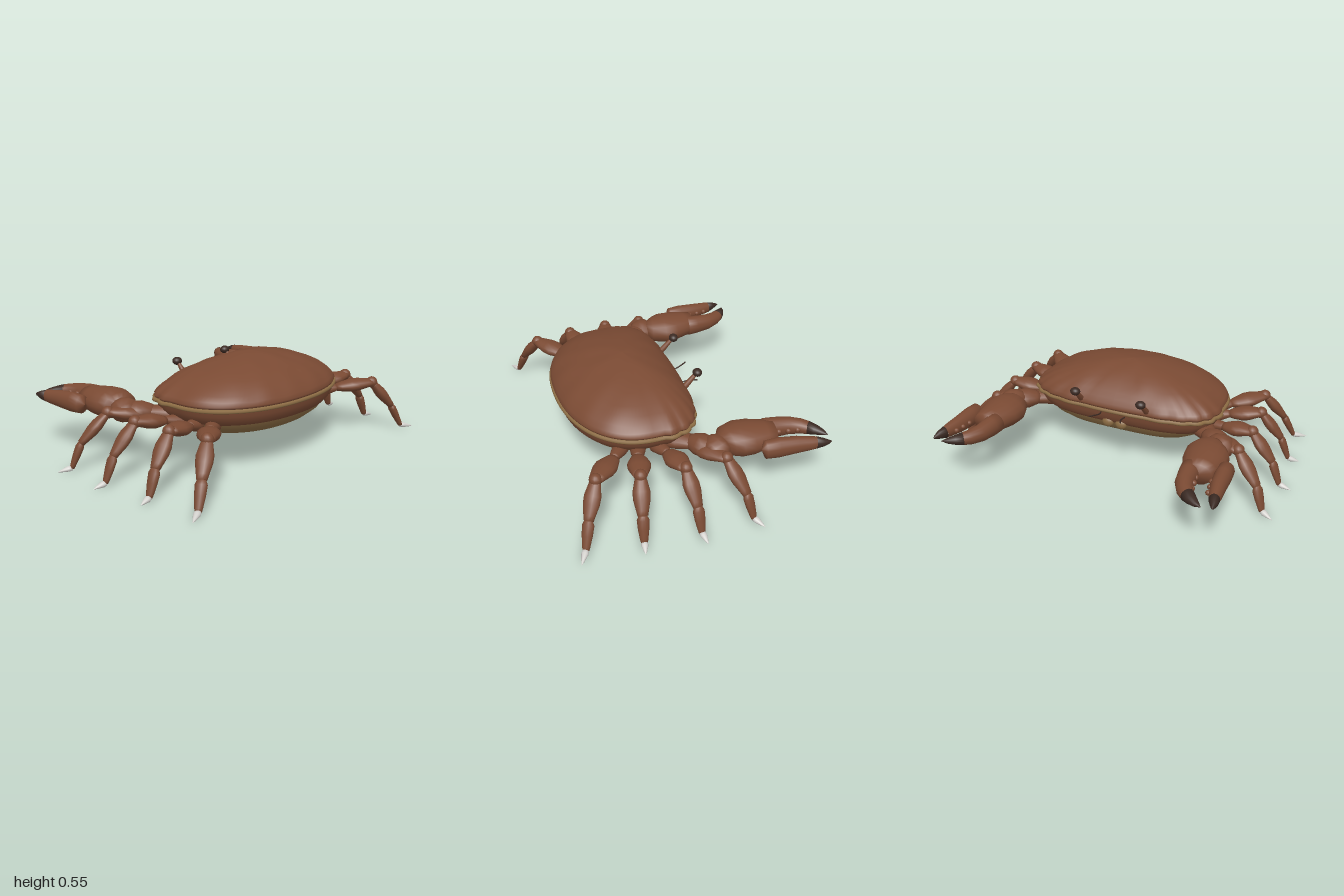
import * as THREE from 'three';

const flat = (name, color) => {
  const m = new THREE.MeshStandardMaterial({ color });
  m.name = name;
  return m;
};
const V3 = (p) => new THREE.Vector3(p[0], p[1], p[2]);

// Skin a list of closed rings (arrays of Vector3) with smooth normals
function skin(rings) {
  const n = rings[0].length, idx = [];
  for (let j = 0; j < rings.length - 1; j++) {
    for (let i = 0; i < n; i++) {
      const k = (i + 1) % n;
      const a = j * n + i, b = j * n + k, c = a + n, d = b + n;
      idx.push(a, c, b, b, c, d);
    }
  }
  const g = new THREE.BufferGeometry().setFromPoints(rings.flat());
  g.setIndex(idx);
  g.computeVertexNormals();
  return g;
}

// Elliptical section swept through stations [x, y, z, halfWidth, halfHeight]
function sweep(stations, sides = 14) {
  const up = new THREE.Vector3(0, 1, 0);
  return skin(stations.map((s, j) => {
    const p = V3(s);
    const prev = V3(stations[Math.max(j - 1, 0)]);
    const next = V3(stations[Math.min(j + 1, stations.length - 1)]);
    const t = next.sub(prev).normalize();
    const u = t.clone().cross(up).normalize();
    const v = u.clone().cross(t);
    return Array.from({ length: sides }, (_, i) => {
      const a = (i / sides) * Math.PI * 2;
      return p.clone().addScaledVector(u, s[3] * Math.cos(a)).addScaledVector(v, s[4] * Math.sin(a));
    });
  }));
}

// Straight limb segment from a to b with a bulging profile of [position, radius]
const BULGE = [[-0.03, 0], [0, 0.55], [0.12, 0.72], [0.4, 1], [0.6, 0.97], [0.88, 0.7], [1, 0.6], [1.03, 0]];
const TAPER = [[-0.04, 0], [0, 0.7], [0.15, 1], [0.5, 0.9], [0.9, 0.65], [1, 0.55], [1.03, 0]];
const SPIKE = [[-0.04, 0], [0, 0.9], [0.25, 1], [0.7, 0.5], [1, 0.03]];
function segment(a, b, w, h, profile) {
  const A = V3(a), B = V3(b);
  return sweep(profile.map(([t, r]) => {
    const p = A.clone().lerp(B, t);
    return [p.x, p.y, p.z, w * r, h * r];
  }));
}

// Shell outline: broad square front (-z), round back, small teeth along the front
const CZ = 0.2, N = 112;
function outline(scale, y, teeth = 1) {
  return Array.from({ length: N }, (_, i) => {
    const a = (i / N) * Math.PI * 2, c = Math.cos(a), s = Math.sin(a);
    const e = s < 0 ? 2 / 3.5 : 2 / 2.2;
    const depth = s < 0 ? 0.302 : 0.385;
    const k = scale * (1 + (s < -0.08 ? 0.022 * teeth * Math.abs(Math.sin(a * 11)) : 0));
    return new THREE.Vector3(
      Math.sign(c) * 0.553 * Math.abs(c) ** e * k, y,
      CZ + Math.sign(s) * depth * Math.abs(s) ** e * k);
  });
}

export function createModel() {
  const crab = new THREE.Group();
  crab.name = 'crab';
  const brown = flat('shell brown', 0x7a4a33);
  const tan = flat('belly tan', 0x8a6b43);
  const dark = flat('dark claw tip', 0x3b2a23);
  const white = flat('pale leg tip', 0xd2d0cc);

  const add = (parent, name, geo, mat) => {
    const m = new THREE.Mesh(geo, mat);
    m.name = name;
    parent.add(m);
    return m;
  };
  const loftBody = (name, rows, mat, teeth) =>
    add(crab, name, skin(rows.map(([s, y]) => outline(s, y, teeth * s ** 4))), mat);

  // Body, bottom to top
  loftBody('belly', [[0, 0.164], [0.3, 0.167], [0.55, 0.178], [0.72, 0.2], [0.83, 0.235], [0.87, 0.27]], tan, 0);
  loftBody('lowerShell', [[0.84, 0.262], [0.9, 0.268], [0.945, 0.29], [0.975, 0.32], [0.985, 0.352]], brown, 0.3);
  loftBody('shellRim', [[0.97, 0.345], [1.008, 0.345], [1.018, 0.352], [1.01, 0.362], [0.97, 0.364]], tan, 1);
  const dome = loftBody('upperShell', [[0.96, 0.362], [0.99, 0.364], [1, 0.376], [0.975, 0.395], [0.92, 0.42], [0.84, 0.447],
    [0.74, 0.473], [0.6, 0.5], [0.45, 0.521], [0.3, 0.537], [0.15, 0.549], [0, 0.555]], brown, 1);

  // Soft ridges over the shell
  const pos = dome.geometry.attributes.position;
  for (let i = 0; i < pos.count; i++) {
    const x = pos.getX(i), y = pos.getY(i), z = pos.getZ(i);
    if (y > 0.39 && y < 0.55) pos.setY(i, y + 0.003 * Math.sin(x * 34) * Math.cos(z * 18));
  }
  dome.geometry.computeVertexNormals();

  // Folded abdomen plates under the belly
  for (let i = 0; i < 5; i++) {
    const plate = add(crab, 'abdomenPlate', new THREE.SphereGeometry(1, 28, 12), tan);
    plate.scale.set(0.2 - i * 0.03, 0.013, 0.075);
    plate.position.set(0, 0.167, 0.31 - i * 0.047);
    plate.rotation.x = 0.06;
  }

  // Leg joints in top view: [x, z] of root, hip, knee, shin, ankle, tip
  const legs = [
    [[0.44, 0.08], [0.56, -0.01], [0.735, -0.12], [0.865, -0.185], [0.91, -0.21], [0.975, -0.245]],
    [[0.46, 0.17], [0.575, 0.135], [0.745, 0.1], [0.875, 0.082], [0.925, 0.076], [0.995, 0.068]],
    [[0.46, 0.26], [0.56, 0.29], [0.73, 0.33], [0.85, 0.358], [0.9, 0.367], [0.965, 0.38]],
    [[0.42, 0.33], [0.53, 0.41], [0.69, 0.545], [0.8, 0.615], [0.86, 0.65], [0.935, 0.69]],
  ];
  const legY = [0.255, 0.275, 0.3, 0.15, 0.022, 0.006];

  for (const side of [1, -1]) {
    const label = side > 0 ? 'left' : 'right';
    const at = ([x, y, z]) => [side * x, y, z];

    legs.forEach((joints, i) => {
      const leg = new THREE.Group();
      leg.name = `${label}Leg${i + 1}`;
      crab.add(leg);
      const p = joints.map(([x, z], j) => at([x, legY[j], z]));
      add(leg, 'hip', segment(p[0], p[1], 0.042, 0.036, TAPER), brown);
      add(leg, 'thigh', segment(p[1], p[2], 0.06, 0.037, BULGE), brown);
      add(leg, 'knee', new THREE.SphereGeometry(0.033, 14, 10), brown).position.set(...p[2]);
      add(leg, 'shin', segment(p[2], p[3], 0.044, 0.031, BULGE), brown);
      add(leg, 'foot', segment(p[3], p[4], 0.031, 0.022, TAPER), brown);
      add(leg, 'footTip', segment(p[4], p[5], 0.018, 0.015, SPIKE), white);
    });

    // Claw arm, palm and two fingers with dark tips
    const claw = new THREE.Group();
    claw.name = `${label}Claw`;
    crab.add(claw);
    const run = (name, rows, mat) =>
      add(claw, name, sweep(rows.map(([x, y, z, w, h]) => [side * x, y, z, w, h]), 18), mat);
    add(claw, 'upperArm', segment(at([0.42, 0.27, 0.12]), at([0.56, 0.285, -0.03]), 0.07, 0.05, TAPER), brown);
    add(claw, 'forearm', segment(at([0.52, 0.285, 0.0]), at([0.655, 0.29, -0.1]), 0.07, 0.055, BULGE), brown);
    add(claw, 'wrist', segment(at([0.66, 0.29, -0.05]), at([0.6, 0.295, -0.17]), 0.08, 0.066, BULGE), brown);
    run('palm', [[0.63, 0.3, -0.125, 0, 0], [0.625, 0.3, -0.135, 0.05, 0.05], [0.61, 0.3, -0.17, 0.095, 0.07],
      [0.605, 0.3, -0.23, 0.118, 0.08], [0.61, 0.3, -0.3, 0.115, 0.078], [0.615, 0.3, -0.38, 0.092, 0.068],
      [0.62, 0.3, -0.43, 0.075, 0.058], [0.62, 0.3, -0.435, 0, 0]], brown);
    run('innerFinger', [[0.575, 0.3, -0.37, 0, 0], [0.575, 0.3, -0.395, 0.055, 0.058], [0.577, 0.3, -0.45, 0.05, 0.056],
      [0.587, 0.3, -0.53, 0.046, 0.048], [0.613, 0.3, -0.59, 0.041, 0.04], [0.64, 0.3, -0.622, 0.036, 0.034]], brown);
    run('innerFingerTip', [[0.632, 0.3, -0.614, 0, 0], [0.638, 0.3, -0.62, 0.037, 0.035], [0.667, 0.3, -0.648, 0.03, 0.026],
      [0.7, 0.3, -0.673, 0.018, 0.015], [0.73, 0.3, -0.69, 0.001, 0.001]], dark);
    run('outerFinger', [[0.735, 0.3, -0.31, 0, 0], [0.738, 0.3, -0.33, 0.043, 0.05], [0.742, 0.3, -0.4, 0.045, 0.055],
      [0.75, 0.3, -0.5, 0.04, 0.047], [0.762, 0.3, -0.57, 0.033, 0.038], [0.767, 0.3, -0.605, 0.027, 0.033]], brown);
    run('outerFingerTip', [[0.765, 0.3, -0.595, 0, 0], [0.767, 0.3, -0.603, 0.028, 0.034], [0.777, 0.3, -0.64, 0.02, 0.023],
      [0.782, 0.3, -0.67, 0.009, 0.01], [0.782, 0.3, -0.685, 0.001, 0.001]], dark);
    // Blunt teeth along the gripping edges
    for (let i = 0; i < 3; i++) {
      const z = -0.46 - i * 0.05;
      add(claw, 'fingerTooth', new THREE.SphereGeometry(0.016, 10, 8), brown).position.set(side * (0.622 + i * 0.008), 0.3, z);
      add(claw, 'fingerTooth', new THREE.SphereGeometry(0.014, 10, 8), brown).position.set(side * (0.705 + i * 0.008), 0.3, z);
    }

    // Eye on a slanted stalk
    add(crab, `${label}EyeStalk`, segment(at([0.2, 0.37, -0.07]), at([0.196, 0.46, -0.155]), 0.017, 0.017, TAPER), brown);
    const eye = add(crab, `${label}Eye`, new THREE.SphereGeometry(0.026, 18, 14), dark);
    eye.position.set(side * 0.195, 0.467, -0.164);
    eye.scale.set(1.1, 0.85, 1);

    // Antenna
    const curve = new THREE.CatmullRomCurve3([[0.075, 0.33, -0.08], [0.07, 0.335, -0.13], [0.08, 0.345, -0.17], [0.098, 0.35, -0.205]]
      .map((q) => V3(at(q))));
    add(crab, `${label}Antenna`, new THREE.TubeGeometry(curve, 12, 0.004, 6), dark);

    // Mouth plate
    const mouth = add(crab, `${label}MouthPlate`, new THREE.SphereGeometry(1, 16, 12), tan);
    mouth.scale.set(0.036, 0.032, 0.026);
    mouth.position.set(side * 0.04, 0.268, -0.07);
  }
  return crab;
}
